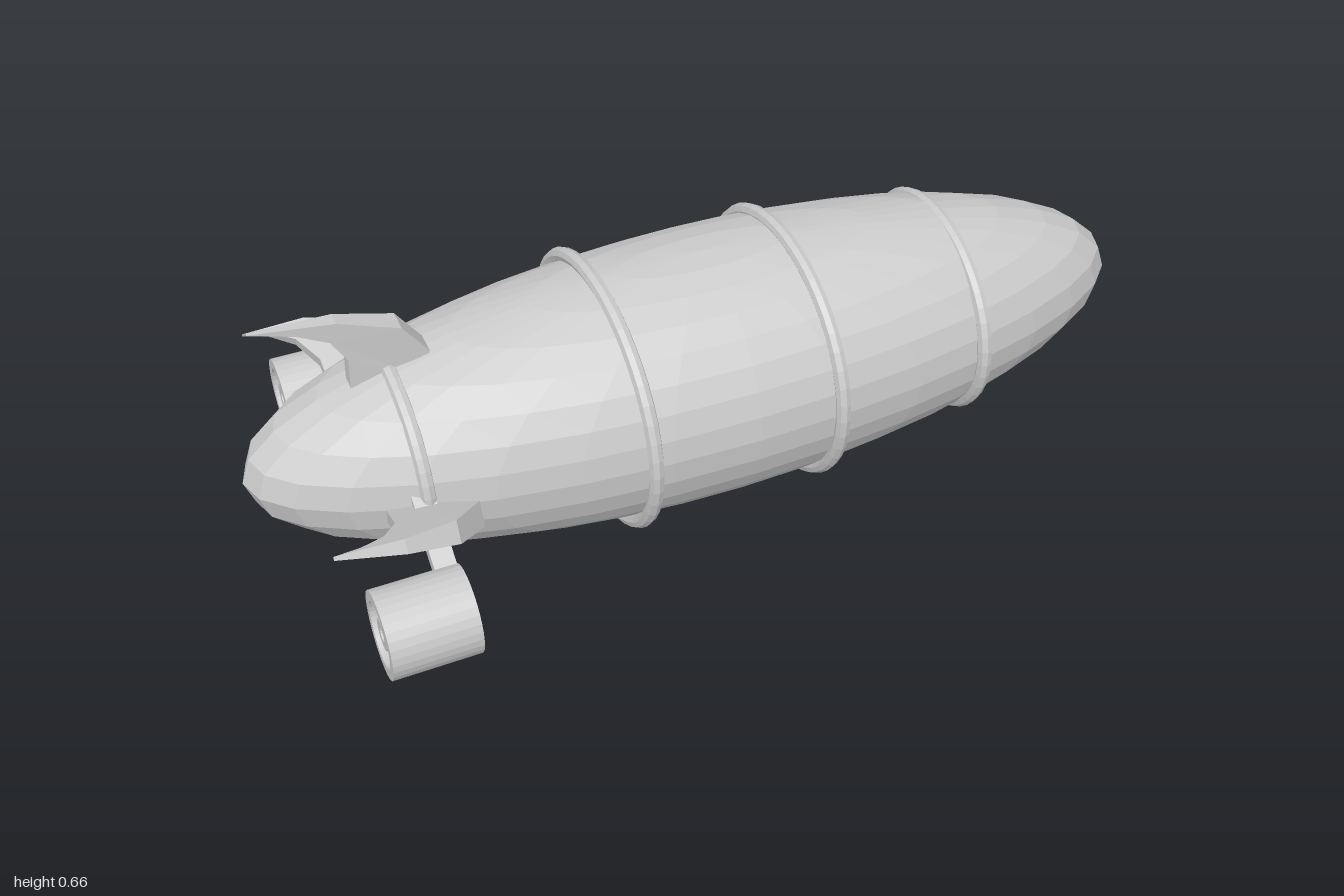
import * as THREE from 'three';

const material = new THREE.MeshStandardMaterial({ color: 0xcccccc, flatShading: true });

function part(name, geometry) {
  const mesh = new THREE.Mesh(geometry, material);
  mesh.name = name;
  return mesh;
}

// Hoop that follows the hull's elliptical section, slightly yawed
function hoop(x, ry, rz, yaw) {
  const points = [];
  for (let i = 0; i < 32; i++) {
    const a = (i / 32) * Math.PI * 2;
    const z = rz * Math.sin(a);
    points.push(new THREE.Vector3(x + yaw * z, 0.3 + ry * Math.cos(a), z));
  }
  const curve = new THREE.CatmullRomCurve3(points, true);
  return part('hullHoop', new THREE.TubeGeometry(curve, 48, 0.016, 8, true));
}

// Swept fin: outline in (x, height), thick at the leading edge, thin at the tip
function finGeometry(outline, tipX, leadX, skew) {
  const shape = new THREE.Shape(outline.map(([x, h]) => new THREE.Vector2(x, h)));
  const geometry = new THREE.ExtrudeGeometry(shape, { depth: 2, bevelEnabled: false });
  geometry.translate(0, 0, -1);
  const p = geometry.attributes.position;
  for (let i = 0; i < p.count; i++) {
    const k = THREE.MathUtils.clamp((p.getX(i) - tipX) / (leadX - tipX), 0, 1);
    p.setZ(i, p.getZ(i) * (0.004 + 0.023 * k) + skew * (p.getX(i) - leadX));
  }
  geometry.computeVertexNormals();
  return geometry;
}

// Profile of radius and position along x, turned around the x axis
function turned(profile, segments) {
  const points = profile.map(([r, x]) => new THREE.Vector2(r, x));
  return new THREE.LatheGeometry(points, segments).rotateZ(-Math.PI / 2);
}

// Front grille: disc with five sector openings
function grilleGeometry() {
  const disc = new THREE.Shape();
  disc.absarc(0, 0, 0.0775, 0, Math.PI * 2, false);
  for (let i = 0; i < 5; i++) {
    const mid = Math.PI / 2 + (i * Math.PI * 2) / 5;
    const hole = new THREE.Path();
    hole.absarc(0, 0, 0.073, mid - 0.43, mid + 0.43, false);
    hole.absarc(0, 0, 0.033, mid + 0.43, mid - 0.43, true);
    hole.closePath();
    disc.holes.push(hole);
  }
  return new THREE.ExtrudeGeometry(disc, { depth: 0.02, bevelEnabled: false, curveSegments: 16 })
    .rotateY(Math.PI / 2);
}

function engine() {
  const group = new THREE.Group();
  group.name = 'engine';
  group.add(part('engineShell', turned([
    [0, -0.03], [0.068, -0.03], [0.068, -0.09], [0.09, -0.09],
    [0.09, 0.09], [0.077, 0.09], [0.077, 0.04], [0, 0.04],
  ], 32)));
  const grille = part('engineGrille', grilleGeometry());
  grille.position.x = 0.07;
  const cap = part('grilleHub', turned([[0, 0.07], [0.03, 0.07], [0.03, 0.094], [0, 0.094]], 20));
  const nozzle = part('exhaustNozzle', turned([
    [0.015, -0.03], [0.015, -0.085], [0.033, -0.085], [0.033, -0.03],
  ], 20));
  group.add(grille, cap, nozzle);
  group.position.set(-0.756, 0.178, 0.389);
  return group;
}

// Strut between engine and hull
function strut() {
  const from = new THREE.Vector2(0.385, 0.195);
  const to = new THREE.Vector2(0.19, 0.325);
  const mesh = part('engineStrut', new THREE.BoxGeometry(0.045, 0.03, from.distanceTo(to)));
  mesh.position.set(-0.69, (from.y + to.y) / 2, (from.x + to.x) / 2);
  mesh.rotation.x = Math.atan2(to.y - from.y, from.x - to.x);
  return mesh;
}

// Side fin, strut and engine; mirrored for the other side
function sideAssembly(side) {
  const group = new THREE.Group();
  group.name = side > 0 ? 'rightTail' : 'leftTail';
  const fin = part('sideFin', finGeometry([
    [-0.904, 0.421], [-0.85, 0.41], [-0.8, 0.38], [-0.765, 0.32], [-0.76, 0.17],
    [-0.7, 0.17], [-0.7, 0.23], [-0.594, 0.309], [-0.663, 0.397], [-0.77, 0.427],
  ], -0.904, -0.63, 0.11));
  fin.rotation.x = THREE.MathUtils.degToRad(65);
  fin.position.y = 0.18;
  group.add(fin, strut(), engine());
  group.scale.z = side;
  return group;
}

export function createModel() {
  const model = new THREE.Group();
  model.name = 'airship';

  // Hull
  const hull = part('hull', new THREE.SphereGeometry(1, 32, 16).scale(1, 0.283, 0.3));
  hull.position.y = 0.302;
  model.add(hull);

  // Hoops around the hull
  [
    [-0.685, 0.202, 0.215, 0.025],
    [-0.245, 0.284, 0.308, 0.025],
    [0.176, 0.283, 0.304, 0.025],
    [0.555, 0.228, 0.258, -0.03],
  ].forEach((h) => model.add(hoop(...h)));

  // Top fin
  model.add(part('topFin', finGeometry([
    [-0.94, 0.656], [-0.85, 0.63], [-0.79, 0.6], [-0.76, 0.55], [-0.765, 0.44],
    [-0.62, 0.47], [-0.6, 0.53], [-0.65, 0.6], [-0.773, 0.642],
  ], -0.94, -0.65, 0)));

  // Side fins and engines
  model.add(sideAssembly(1), sideAssembly(-1));
  return model;
}
